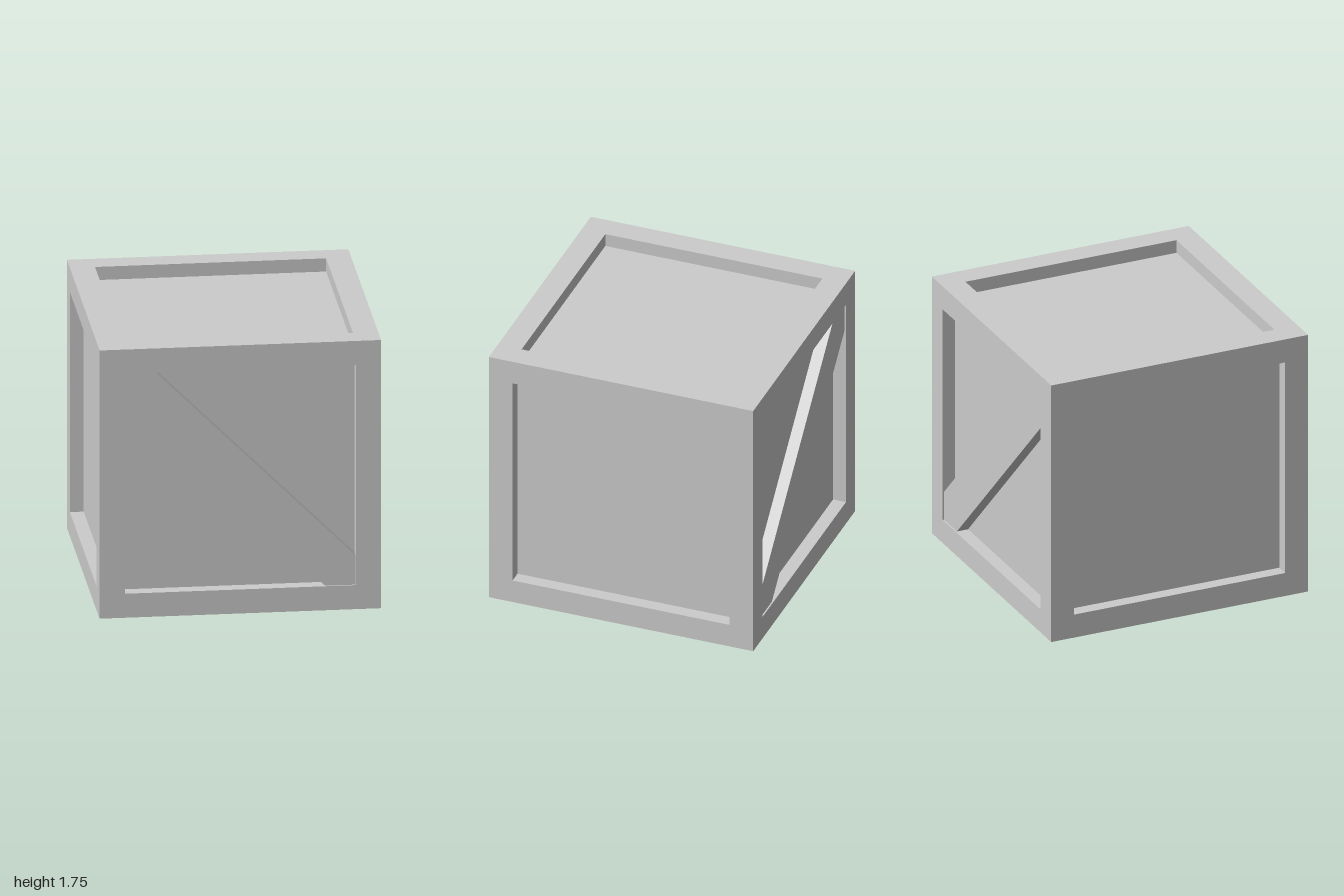
import * as THREE from 'three';
import { mergeGeometries } from 'three/addons/utils/BufferGeometryUtils.js';

const HALF = 0.877;   // half the crate's edge
const OPEN = 0.72;    // half the opening inside the frame
const DEPTH = 0.086;  // how far the panels are set back
const BRACE = 0.076;  // thickness of the diagonal boards
const CUT = 0.19;     // board width measured along the opening's edge

const polygon = (points) => points.map(([x, y]) => new THREE.Vector2(x, y));
const square = (r) => polygon([[-r, -r], [r, -r], [r, r], [-r, r]]);

// Square border with the four inner walls of its recess, facing +z
function frameGeometry() {
  const border = new THREE.Shape(square(HALF));
  border.holes.push(new THREE.Path(square(OPEN).reverse()));
  const parts = [new THREE.ShapeGeometry(border).translate(0, 0, HALF)];
  for (let k = 0; k < 4; k++) {
    parts.push(new THREE.PlaneGeometry(2 * OPEN, DEPTH)
      .rotateX(-Math.PI / 2)
      .translate(0, -OPEN, HALF - DEPTH / 2)
      .rotateZ(k * Math.PI / 2));
  }
  return mergeGeometries(parts);
}

// Diagonal board trimmed to the corners of the opening
function braceGeometry() {
  const a = OPEN, b = OPEN - CUT;
  const outline = new THREE.Shape(polygon([[-a, a], [-a, b], [b, -a], [a, -a], [a, -b], [-b, a]]));
  return new THREE.ExtrudeGeometry(outline, { depth: BRACE, bevelEnabled: false });
}

export function createModel() {
  const model = new THREE.Group();
  model.name = 'crate';
  const material = new THREE.MeshStandardMaterial({ color: 0xcccccc, flatShading: true });

  const crate = new THREE.Group();
  crate.name = 'crateBody';
  crate.position.y = HALF;
  crate.rotation.y = -0.153;
  model.add(crate);

  const add = (parent, name, geometry) => {
    const mesh = new THREE.Mesh(geometry, material);
    mesh.name = name;
    parent.add(mesh);
    return mesh;
  };

  // Six framed, recessed sides
  const frame = frameGeometry();
  const panel = new THREE.PlaneGeometry(2 * OPEN, 2 * OPEN).translate(0, 0, HALF - DEPTH);
  const q = Math.PI / 2;
  const sides = { front: [0, 0], left: [0, q], back: [0, 2 * q], right: [0, -q], top: [-q, 0], bottom: [q, 0] };
  for (const [name, [rx, ry]] of Object.entries(sides)) {
    const side = new THREE.Group();
    side.name = name + 'Side';
    side.rotation.set(rx, ry, 0);
    add(side, name + 'Frame', frame);
    add(side, name + 'Panel', panel);
    crate.add(side);
  }

  // Diagonal boards on the front and back, sloping the same way
  const brace = braceGeometry();
  add(crate, 'frontBrace', brace).position.z = HALF - DEPTH;
  add(crate, 'backBrace', brace).position.z = -(HALF - DEPTH) - BRACE;

  return model;
}
